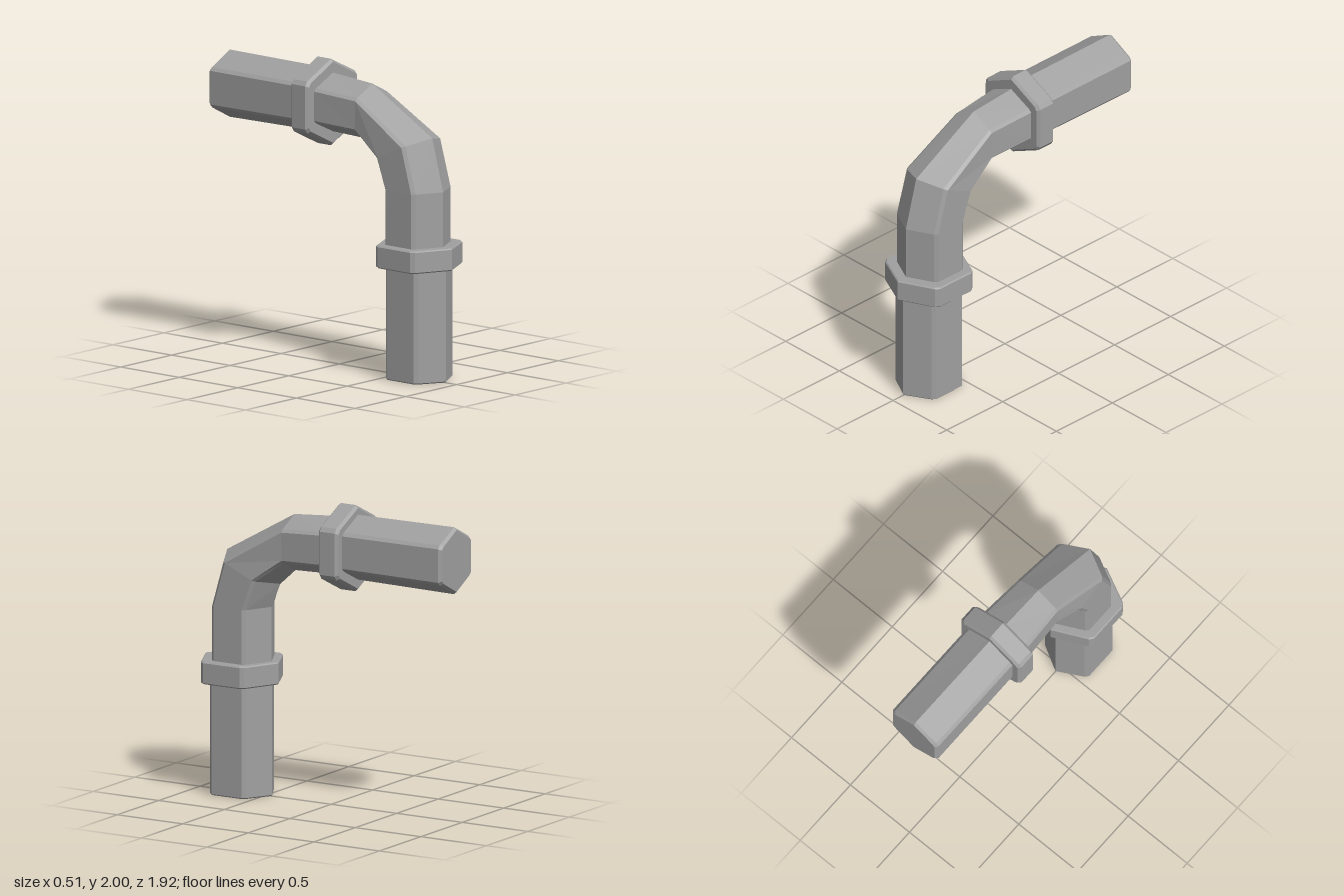
import * as THREE from 'three';

// Half cross-section: [side inset from half width, position from inner ridge (0) to outer ridge (1)]
const SIDE = [[0.02, 0.8], [0, 0.75], [0, 0.25], [0.02, 0.2]];

// Ten-sided ring from the outer ridge, the inner ridge (each [y, z]) and the half width
function ring([y1, z1], [y0, z0], w, inset = 0) {
  const len = Math.hypot(y1 - y0, z1 - z0);
  const k = 1 - (2 * inset) / len;
  const at = (x, t) => {
    const s = 0.5 + (t - 0.5) * k;
    return [x, y0 + (y1 - y0) * s, z0 + (z1 - z0) * s];
  };
  const half = w - inset;
  return [
    at(0, 1),
    ...SIDE.map(([d, t]) => at(half - d, t)),
    at(0, 0),
    ...[...SIDE].reverse().map(([d, t]) => at(d - half, t)),
  ];
}

// Closed faceted body through a list of rings
function loft(rings) {
  const pos = [];
  const tri = (a, b, c) => pos.push(...a, ...b, ...c);
  const n = rings[0].length;
  for (let i = 0; i < rings.length - 1; i++) {
    for (let j = 0; j < n; j++) {
      const k = (j + 1) % n;
      const a = rings[i][j], b = rings[i][k], c = rings[i + 1][k], d = rings[i + 1][j];
      tri(a, b, c);
      tri(a, c, d);
    }
  }
  const first = rings[0], last = rings[rings.length - 1];
  for (let j = 1; j < n - 1; j++) {
    tri(first[0], first[j + 1], first[j]);
    tri(last[0], last[j], last[j + 1]);
  }
  const geo = new THREE.BufferGeometry();
  geo.setAttribute('position', new THREE.Float32BufferAttribute(pos, 3));
  geo.computeVertexNormals();
  return geo;
}

// Rings across the upright axis and across the level axis
const upright = (y, outer, inner, w, inset) => ring([y, outer], [y, inner], w, inset);
const level = (z, outer, inner, w, inset) => ring([outer, z], [inner, z], w, inset);

export function createModel() {
  const group = new THREE.Group();
  const grey = new THREE.MeshStandardMaterial({ color: 0xa0a0a0 });
  grey.name = 'pipeGrey';
  grey.flatShading = true;

  const add = (name, rings) => {
    const mesh = new THREE.Mesh(loft(rings), grey);
    mesh.name = name;
    group.add(mesh);
  };

  // Upright pipe
  add('lowerPipe', [
    upright(0, 0.91, 0.45, 0.187, 0.008),
    upright(0.008, 0.91, 0.45, 0.187),
    upright(0.8, 0.91, 0.45, 0.187),
  ]);

  // Collar round the upright pipe
  add('lowerCollar', [
    upright(0.742, 0.96, 0.402, 0.252, 0.008),
    upright(0.75, 0.96, 0.402, 0.252),
    upright(0.882, 0.96, 0.402, 0.252),
    upright(0.89, 0.96, 0.402, 0.252, 0.008),
  ]);

  // Elbow
  add('elbow', [
    upright(0.8, 0.885, 0.455, 0.192),
    upright(1.25, 0.885, 0.455, 0.192),
    ring([1.593, 0.793], [1.41, 0.388], 0.19),
    ring([1.885, 0.28], [1.515, 0.272], 0.166),
    level(-0.06, 1.912, 1.525, 0.187),
    level(-0.13, 1.915, 1.525, 0.187),
  ]);

  // Collar round the level pipe
  add('upperCollar', [
    level(-0.055, 2, 1.43, 0.254, 0.018),
    level(-0.073, 2, 1.43, 0.254),
    level(-0.187, 2, 1.43, 0.254),
    level(-0.205, 2, 1.43, 0.254, 0.018),
  ]);

  // Level pipe
  add('upperPipe', [
    level(-0.13, 1.937, 1.51, 0.193),
    level(-0.937, 1.943, 1.5, 0.193),
    level(-0.957, 1.943, 1.5, 0.193, 0.017),
  ]);

  return group;
}
